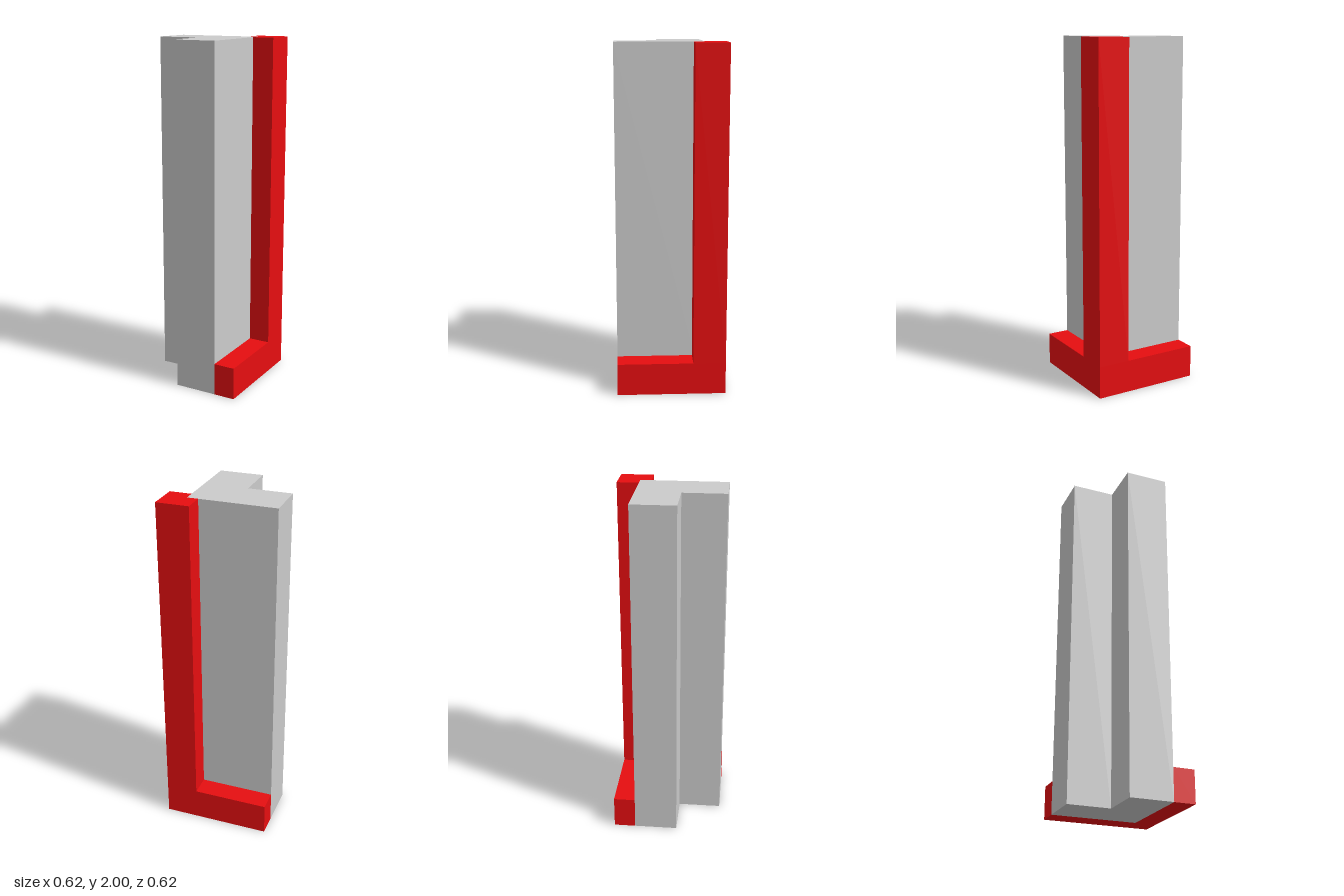
import * as THREE from 'three';

const grey = new THREE.MeshStandardMaterial({ color: 0xcccccc });
const red = new THREE.MeshStandardMaterial({ color: 0xe60e10 });

// Vertical prism from a floor plan of [x, z] corners
function prism(name, plan, bottom, top, material) {
  const shape = new THREE.Shape(plan.map(([x, z]) => new THREE.Vector2(x, -z)));
  const geometry = new THREE.ExtrudeGeometry(shape, { depth: top - bottom, bevelEnabled: false });
  geometry.rotateX(-Math.PI / 2).translate(0, bottom, 0);
  const mesh = new THREE.Mesh(geometry, material);
  mesh.name = name;
  return mesh;
}

// L-shaped plan wrapped round the inner corner (x, z), with arms reaching given ends
function anglePlan(inner, outer, end) {
  return [
    [-end, -outer], [outer, -outer], [outer, end],
    [inner, end], [inner, -inner], [-end, -inner],
  ];
}

export function createModel() {
  const model = new THREE.Group();
  model.name = 'cornerColumn';
  const half = 0.3125, face = 0.1875, baseHeight = 0.1875, height = 2;

  // L-section grey column
  model.add(prism('column', anglePlan(-0.0625, face, half), 0, height, grey));

  // Red skirting along the two outer faces
  model.add(prism('skirting', anglePlan(face, half, half), 0, baseHeight, red));

  // Red corner trim rising from the skirting
  model.add(prism('cornerTrim', anglePlan(face, half, -0.125), baseHeight, height, red));

  return model;
}
